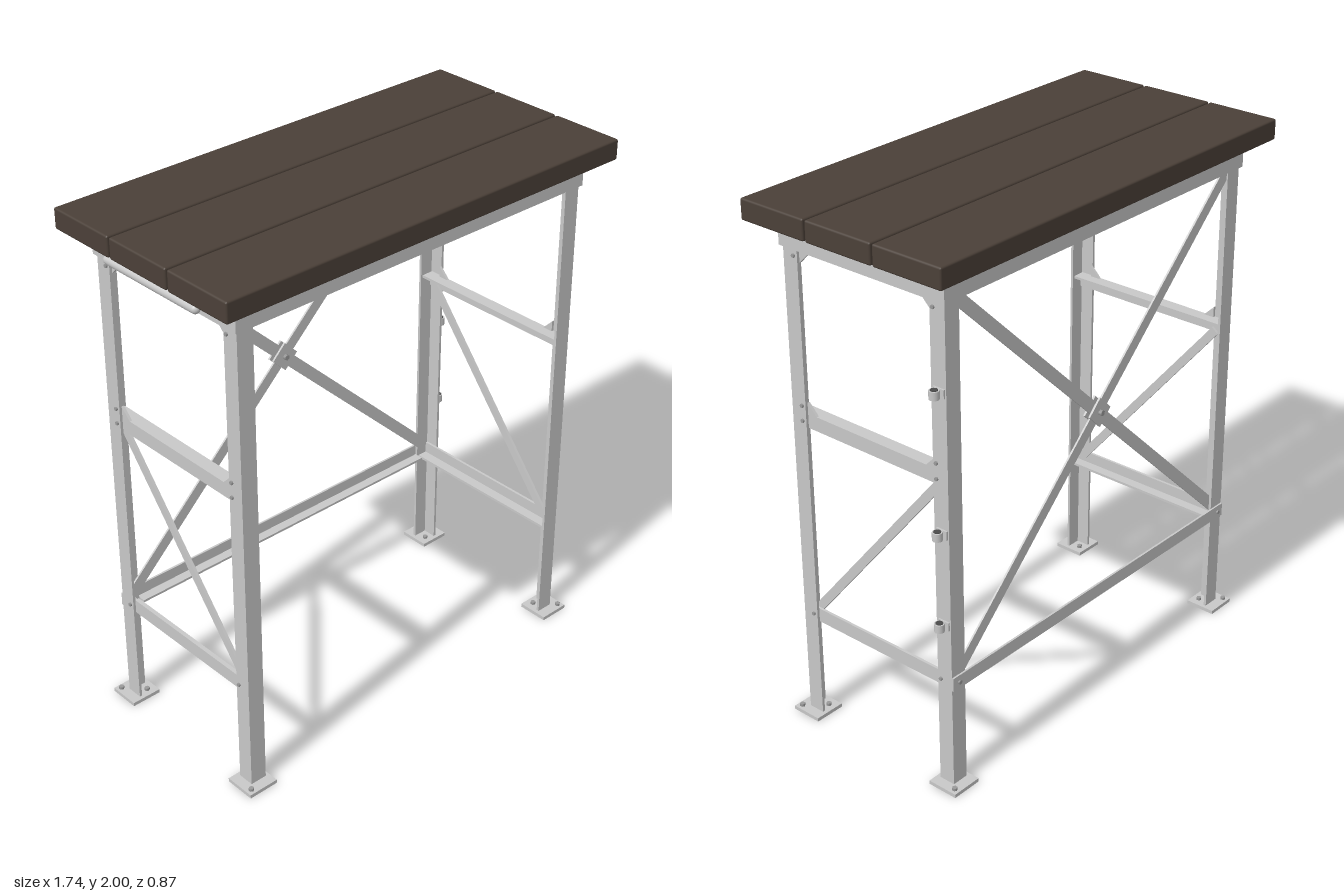
import * as THREE from 'three';
import { RoundedBoxGeometry } from 'three/addons/geometries/RoundedBoxGeometry.js';

const mat = (name, color) => Object.assign(new THREE.MeshStandardMaterial({ color }), { name });

export function createModel() {
  const wood = mat('dark timber', 0x4b4038);
  const steel = mat('galvanised steel', 0xc8c8c8);
  const bolt = mat('bolt steel', 0x9a9a9a);
  const rubber = mat('clip lining', 0x4a4a4a);
  const root = new THREE.Group();
  const T = 0.01; // plate thickness

  const add = (name, geo, m, x = 0, y = 0, z = 0) => {
    const mesh = new THREE.Mesh(geo, m);
    mesh.name = name;
    mesh.position.set(x, y, z);
    root.add(mesh);
    return mesh;
  };
  // box given by its two opposite corners
  const box = (name, m, x0, x1, y0, y1, z0, z1) => add(name,
    new THREE.BoxGeometry(Math.abs(x1 - x0), Math.abs(y1 - y0), Math.abs(z1 - z0)),
    m, (x0 + x1) / 2, (y0 + y1) / 2, (z0 + z1) / 2);
  // hexagonal bolt head pointing along an axis
  const boltHead = (axis, x, y, z, r = 0.008, h = 0.008) => {
    const b = add('boltHead', new THREE.CylinderGeometry(r, r, h, 6), bolt, x, y, z);
    if (axis === 'x') b.rotation.z = Math.PI / 2;
    if (axis === 'z') b.rotation.x = Math.PI / 2;
  };
  // flat triangular plate in the y-z plane, from its corner outwards
  const gusset = (x, y, z, dy, dz) => {
    const s = new THREE.Shape([[0, 0], [dz, 0], [0, dy]].map(p => new THREE.Vector2(...p)));
    const g = new THREE.ExtrudeGeometry(s, { depth: T, bevelEnabled: false });
    g.translate(0, 0, -T / 2).rotateY(-Math.PI / 2);
    add('cornerGusset', g, steel, x, y, z);
  };

  // worktop planks
  for (const z of [-0.2915, 0, 0.2915])
    add('plank', new RoundedBoxGeometry(1.74, 0.077, 0.284, 1, 0.007), wood, 0, 1.9615, z);

  // angle-section apron under the planks
  for (const s of [-1, 1]) {
    box('longApron', steel, -0.78, 0.78, 1.83, 1.922, s * 0.362, s * 0.353);
    box('longApronFlange', steel, -0.77, 0.77, 1.913, 1.922, s * 0.353, s * 0.315);
    box('endApron', steel, s * 0.78, s * 0.771, 1.83, 1.922, -0.353, 0.353);
    box('endApronFlange', steel, s * 0.771, s * 0.73, 1.912, 1.921, -0.315, 0.315);
  }

  // fixing tabs that hold the planks
  const tab = (x, z, dx, dz) => {
    box('plankTab', steel, x - 0.026, x + 0.026, 1.904, 1.912, z - 0.026, z + 0.026);
    box('plankTabLeg', steel,
      x - dx * 0.026 - (dx ? 0 : 0.026), x - dx * 0.018 + (dx ? 0 : 0.026), 1.865, 1.912,
      z - dz * 0.026 - (dz ? 0 : 0.026), z - dz * 0.018 + (dz ? 0 : 0.026));
    boltHead('y', x, 1.9, z, 0.011, 0.01);
  };
  for (const x of [-0.54, 0, 0.54]) {
    tab(x, 0.325, 0, -1);
    tab(x, -0.325, 0, 1);
  }
  tab(-0.74, 0, 1, 0);
  tab(0.74, 0, -1, 0);

  for (const sx of [-1, 1]) {
    for (const sz of [-1, 1]) {
      // angle-section leg with its foot plate
      box('legEndFace', steel, sx * 0.77, sx * 0.76, 0.01, 1.915, sz * 0.353, sz * 0.29);
      box('legLongFace', steel, sx * 0.76, sx * 0.705, 0.01, 1.915, sz * 0.353, sz * 0.343);
      box('footPlate', steel, sx * 0.69, sx * 0.81, 0, 0.014, sz * 0.275, sz * 0.395);
      boltHead('y', sx * 0.725, 0.018, sz * 0.305, 0.01, 0.012);
      boltHead('y', sx * 0.79, 0.018, sz * 0.375, 0.01, 0.012);
      // gussets and bolts
      gusset(sx * 0.755, 1.835, sz * 0.29, -0.055, -sz * 0.055);
      gusset(sx * 0.755, 1.228, sz * 0.29, 0.045, -sz * 0.045);
      for (const y of [1.805, 1.262, 1.205, 0.435]) boltHead('x', sx * 0.773, y, sz * 0.305, 0.007);
    }
    // end rails
    box('midRail', steel, sx * 0.76, sx * 0.75, 1.178, 1.232, -0.34, 0.34);
    box('midRailFlange', steel, sx * 0.75, sx * 0.71, 1.222, 1.232, -0.34, 0.34);
    box('lowRail', steel, sx * 0.76, sx * 0.75, 0.402, 0.456, -0.34, 0.34);
    box('lowRailFlange', steel, sx * 0.75, sx * 0.71, 0.402, 0.412, -0.34, 0.34);
    // end diagonal
    const d = add('endDiagonal', new THREE.BoxGeometry(T, 0.033, 0.96), steel, sx * 0.746, 0.815, 0);
    d.rotation.x = Math.atan2(0.715, 0.59);
  }

  // back rail
  box('backRail', steel, -0.77, 0.77, 0.404, 0.456, -0.36, -0.352);
  box('backRailFlange', steel, -0.705, 0.705, 0.404, 0.413, -0.353, -0.315);
  for (const x of [-0.74, 0.74]) boltHead('z', x, 0.43, -0.362);

  // crossed back braces with centre plates
  for (const s of [-1, 1]) {
    const b = add('backBrace', new THREE.BoxGeometry(2.03, 0.045, 0.007), steel, 0, 1.155, -0.341 + s * 0.0035);
    b.rotation.z = s * Math.atan(0.955);
    const p = add('bracePlate', new THREE.BoxGeometry(0.08, 0.08, 0.008), steel, 0, 1.155, -0.341 + s * 0.011);
    p.rotation.z = Math.PI / 4;
    boltHead('z', 0, 1.155, -0.341 + s * 0.02, 0.011, 0.014);
  }

  // cable clips on the back left leg
  for (const y of [0.66, 1.01, 1.52]) {
    box('clipBase', steel, 0.77, 0.776, y - 0.016, y + 0.016, -0.348, -0.302);
    add('clipLining', new THREE.CylinderGeometry(0.013, 0.013, 0.034, 16), rubber, 0.793, y, -0.323);
    add('clipBand', new THREE.CylinderGeometry(0.018, 0.018, 0.03, 16), steel, 0.793, y, -0.323);
  }

  // round rail on the right end, carried by short brackets
  const rail = add('endRail', new THREE.CapsuleGeometry(0.017, 0.44, 4, 16), steel, -0.82, 1.876, 0);
  rail.rotation.x = Math.PI / 2;
  for (const z of [-0.19, 0.19]) box('endRailBracket', steel, -0.825, -0.78, 1.864, 1.888, z - 0.015, z + 0.015);

  return root;
}
